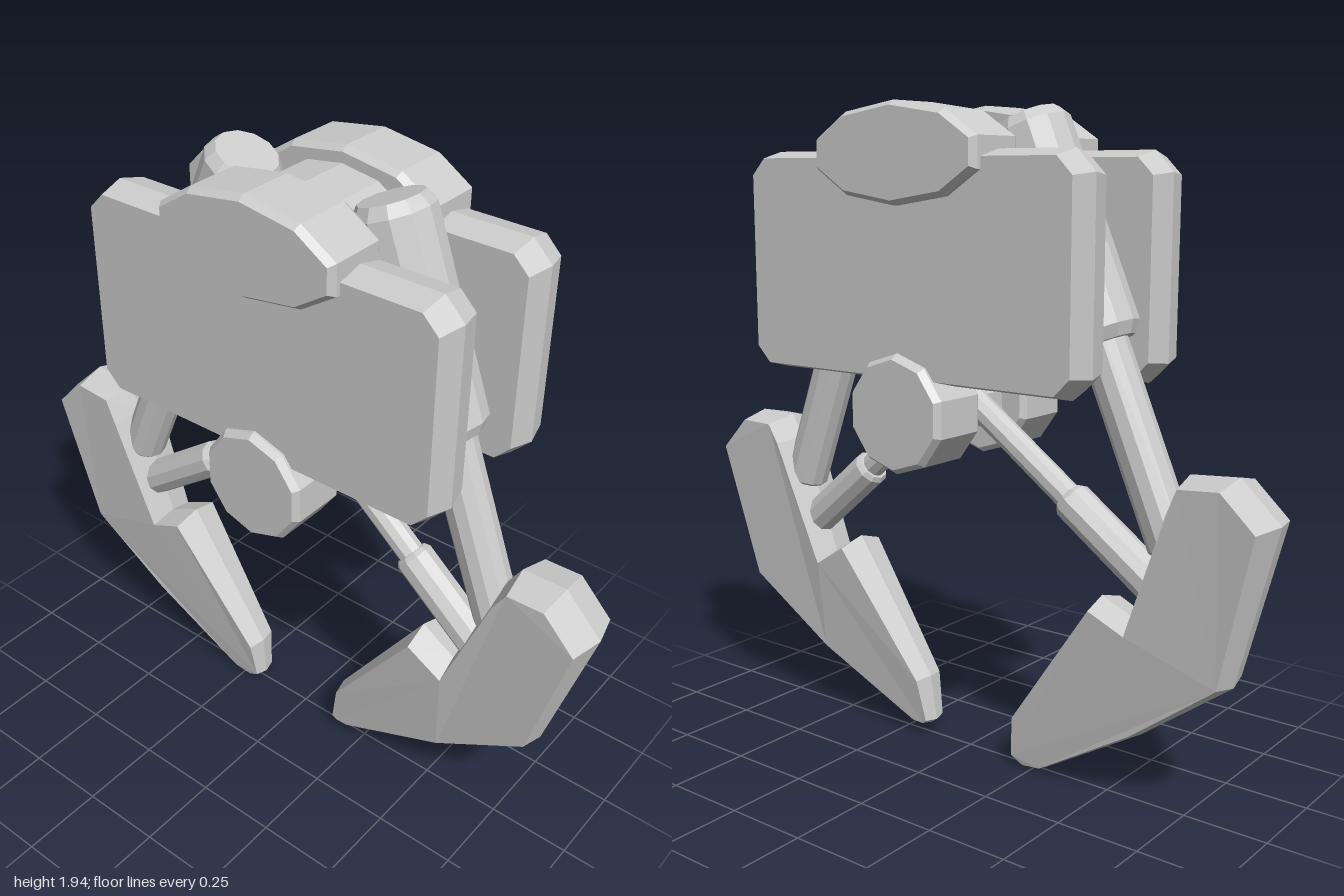
import * as THREE from 'three';

const material = new THREE.MeshStandardMaterial({ color: 0xcccccc, flatShading: true });

// Moves every corner of a counter-clockwise [z, y] outline inwards by its own distance
function inset(pts, dist) {
  const n = pts.length;
  return pts.map((p, i) => {
    const a = pts[(i + n - 1) % n], b = pts[(i + 1) % n];
    const l1 = Math.hypot(p[0] - a[0], p[1] - a[1]), l2 = Math.hypot(b[0] - p[0], b[1] - p[1]);
    const n1 = [-(p[1] - a[1]) / l1, (p[0] - a[0]) / l1];
    const n2 = [-(b[1] - p[1]) / l2, (b[0] - p[0]) / l2];
    const k = dist(p) / Math.max(0.5, 1 + n1[0] * n2[0] + n1[1] * n2[1]);
    return [p[0] + (n1[0] + n2[0]) * k, p[1] + (n1[1] + n2[1]) * k];
  });
}

// Solid from a [z, y] outline stacked along x; layers are [share of half width, share of bevel]
function slab(name, outline, layers, halfWidth, bevel) {
  const v = outline.map(p => new THREE.Vector2(...p));
  const pts = THREE.ShapeUtils.isClockWise(v) ? outline.slice().reverse() : outline;
  const n = pts.length, pos = [], idx = [];
  for (const [t, s] of layers) {
    inset(pts, p => s * bevel(p)).forEach((q, i) => pos.push(t * halfWidth(pts[i]), q[1], q[0]));
  }
  for (let k = 0; k < layers.length - 1; k++) {
    for (let j = 0; j < n; j++) {
      const a = k * n + j, b = k * n + (j + 1) % n;
      idx.push(a, a + n, b, b, a + n, b + n);
    }
  }
  const top = (layers.length - 1) * n;
  for (const [a, b, c] of THREE.ShapeUtils.triangulateShape(pts.map(p => new THREE.Vector2(...p)), [])) {
    idx.push(a, b, c, top + a, top + c, top + b);
  }
  let geo = new THREE.BufferGeometry();
  geo.setAttribute('position', new THREE.Float32BufferAttribute(pos, 3));
  geo.setIndex(idx);
  geo = geo.toNonIndexed();
  geo.computeVertexNormals();
  const mesh = new THREE.Mesh(geo, material);
  mesh.name = name;
  return mesh;
}

// Bevelled cylinder between two [z, y] points
function rod(name, a, b, r, bevel, sides = 10) {
  const from = new THREE.Vector3(0, a[1], a[0]), to = new THREE.Vector3(0, b[1], b[0]);
  const dir = to.clone().sub(from), len = dir.length();
  const profile = [[0, 0], [r - bevel, 0], [r, bevel * 1.5], [r, len - bevel * 1.5], [r - bevel, len], [0, len]];
  const geo = new THREE.LatheGeometry(profile.map(p => new THREE.Vector2(...p)), sides);
  const mesh = new THREE.Mesh(geo, material);
  mesh.name = name;
  mesh.position.copy(from);
  mesh.quaternion.setFromUnitVectors(new THREE.Vector3(0, 1, 0), dir.normalize());
  return mesh;
}

const mix = (a, b, t) => [a[0] + (b[0] - a[0]) * t, a[1] + (b[1] - a[1]) * t];

// Ten-sided oval outline with a corner on top
const oval = (z, y, rz, ry) => Array.from({ length: 10 }, (_, i) => {
  const a = Math.PI / 2 + i * Math.PI / 5;
  return [z + rz * Math.cos(a), y + ry * Math.sin(a)];
});

const RIDGED = [[-1, 1], [0, 0], [1, 1]];
const DISC = [[-1, 1], [-0.8, 0], [0.8, 0], [1, 1]];

export function createModel() {
  const model = new THREE.Group();
  model.name = 'grabberClaw';

  // Side plates, top caps and pivot drums, mirrored left and right
  const z0 = -0.55, z1 = 0.63, y0 = 1.165, y1 = 1.81, c = 0.06;
  const plate = [[z0 + c, y0], [z1 - c, y0], [z1, y0 + c], [z1, y1 - c],
    [z1 - c, y1], [z0 + c, y1], [z0, y1 - c], [z0, y0 + c]];
  for (const [side, s] of [['left', 1], ['right', -1]]) {
    const parts = [
      slab(side + 'Plate', plate, RIDGED, () => 0.078, () => 0.02),
      slab(side + 'TopCap', oval(0.04, 1.8, 0.3, 0.14), DISC, () => 0.102, () => 0.014),
      slab(side + 'PivotDrum', oval(0.045, 1.082, 0.172, 0.172), DISC, () => 0.1, () => 0.014),
    ];
    const offsets = [0.194, 0.203, 0.2];
    parts.forEach((m, i) => { m.position.x = s * offsets[i]; model.add(m); });
  }

  // Axles joining the two sides
  model.add(slab('topAxle', oval(0.04, 1.8, 0.2, 0.095), [[-1, 0], [1, 0]], () => 0.13, () => 0));
  model.add(slab('pivotAxle', oval(0.045, 1.082, 0.09, 0.09), [[-1, 0], [1, 0]], () => 0.13, () => 0));

  // Front and back arms, pistons and fingers
  const limbs = [
    {
      name: 'front', arm: [[0.27, 1.9], [0.69, 0.76]], piston: [[0.06, 1.12], [0.65, 0.62]],
      finger: [[1, 0.85], [0.885, 0.968], [0.75, 0.965], [0.705, 0.895], [0.56, 0.53], [0.45, 0.6],
        [0.16, 0.19], [0.137, 0.05], [0.16, 0.034], [0.205, 0.036], [0.565, 0.205], [0.87, 0.405]],
    },
    {
      name: 'back', arm: [[-0.2, 1.895], [-0.69, 0.76]], piston: [[0.04, 1.13], [-0.66, 0.63]],
      finger: [[-1, 0.87], [-0.88, 0.982], [-0.735, 0.97], [-0.7, 0.885], [-0.58, 0.535], [-0.47, 0.585],
        [-0.185, 0.165], [-0.175, 0.03], [-0.22, 0.003], [-0.285, 0.01], [-0.61, 0.205], [-0.885, 0.41]],
    },
  ];
  // Fingers get thinner towards the tip
  const thickness = p => THREE.MathUtils.lerp(0.032, 0.1, Math.min(1, Math.pow(Math.max(0, p[1]) / 0.8, 0.7)));
  for (const { name, arm, piston, finger } of limbs) {
    const limb = new THREE.Group();
    limb.name = name + 'Limb';
    limb.add(
      rod('armSleeve', arm[0], mix(...arm, 0.53), 0.112, 0.022, 12),
      rod('armRod', mix(...arm, 0.4), arm[1], 0.068, 0.005, 12),
      rod('pistonRod', piston[0], mix(...piston, 0.65), 0.04, 0.004),
      rod('pistonSleeve', mix(...piston, 0.56), piston[1], 0.058, 0.01),
      slab('finger', finger, RIDGED, thickness, p => 0.22 * thickness(p)),
    );
    model.add(limb);
  }
  return model;
}
